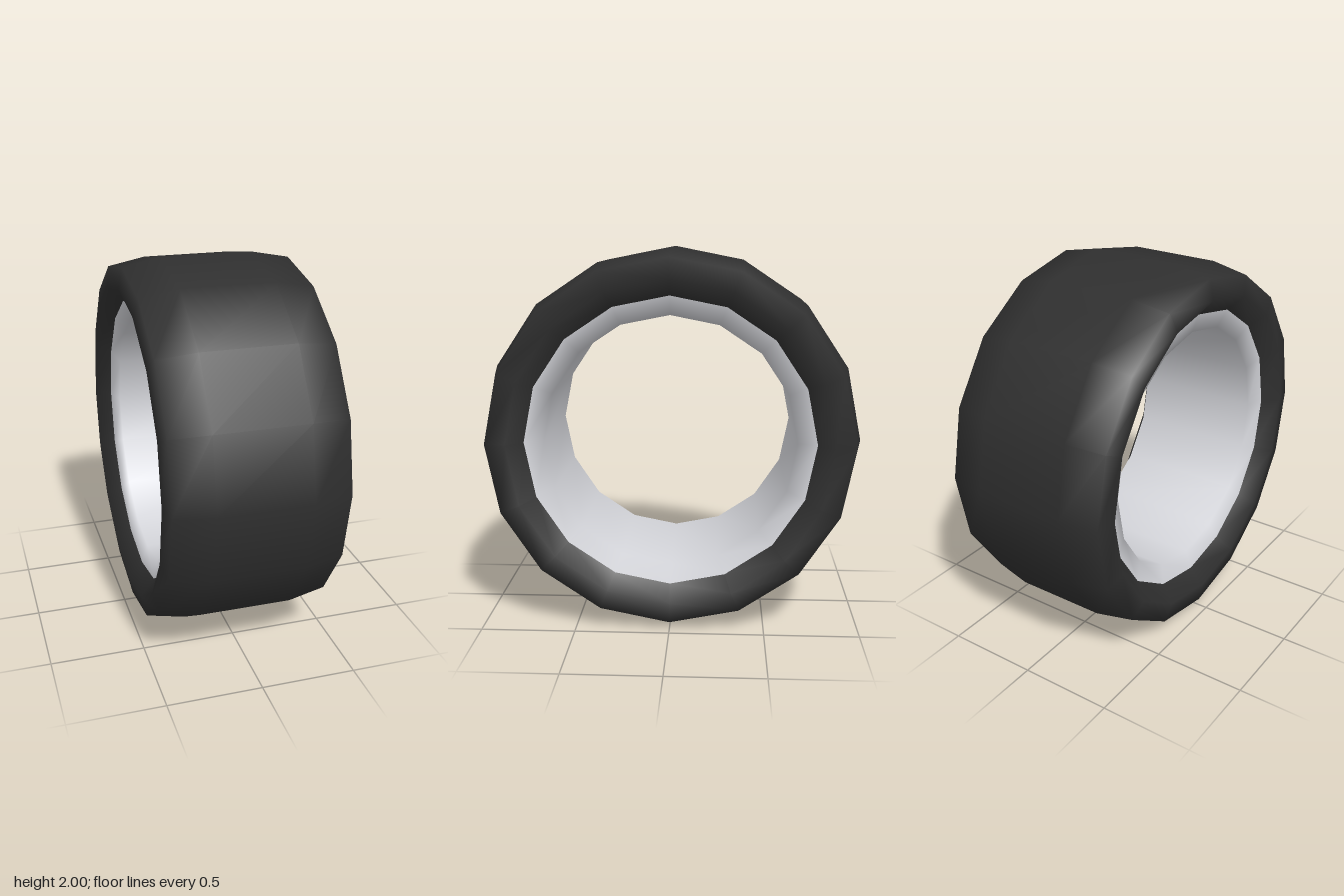
import * as THREE from 'three';

const SIDES = 16;

// Revolves a [radius, axial] profile around the x axis
function ring(name, profile, material) {
  const points = profile.map(([r, a]) => new THREE.Vector2(r, a));
  const geometry = new THREE.LatheGeometry(points, SIDES);
  geometry.rotateZ(-Math.PI / 2);
  geometry.translate(0, 1, 0);
  const mesh = new THREE.Mesh(geometry, material);
  mesh.name = name;
  return mesh;
}

// Completes a half profile with its mirror image
const mirrored = (half) => [...half, ...half.map(([r, a]) => [r, -a]).reverse()];

export function createModel() {
  const rubber = new THREE.MeshStandardMaterial({ color: 0x2f2f2f });
  rubber.name = 'black rubber';
  const metal = new THREE.MeshStandardMaterial({ color: 0xd4d5da });
  metal.name = 'light grey metal';

  const group = new THREE.Group();
  group.name = 'wheel';

  // Tyre: bead, bulging sidewall, shoulder and flat tread
  group.add(ring('tyre', mirrored([
    [0.765, -0.39], [0.85, -0.47], [0.96, -0.45], [1, -0.245],
  ]), rubber));

  // Rim: flanges at both ends of an open, inward-facing bore
  group.add(ring('rim', mirrored([[0.765, 0.39], [0.664, 0.355]]), metal));

  return group;
}
